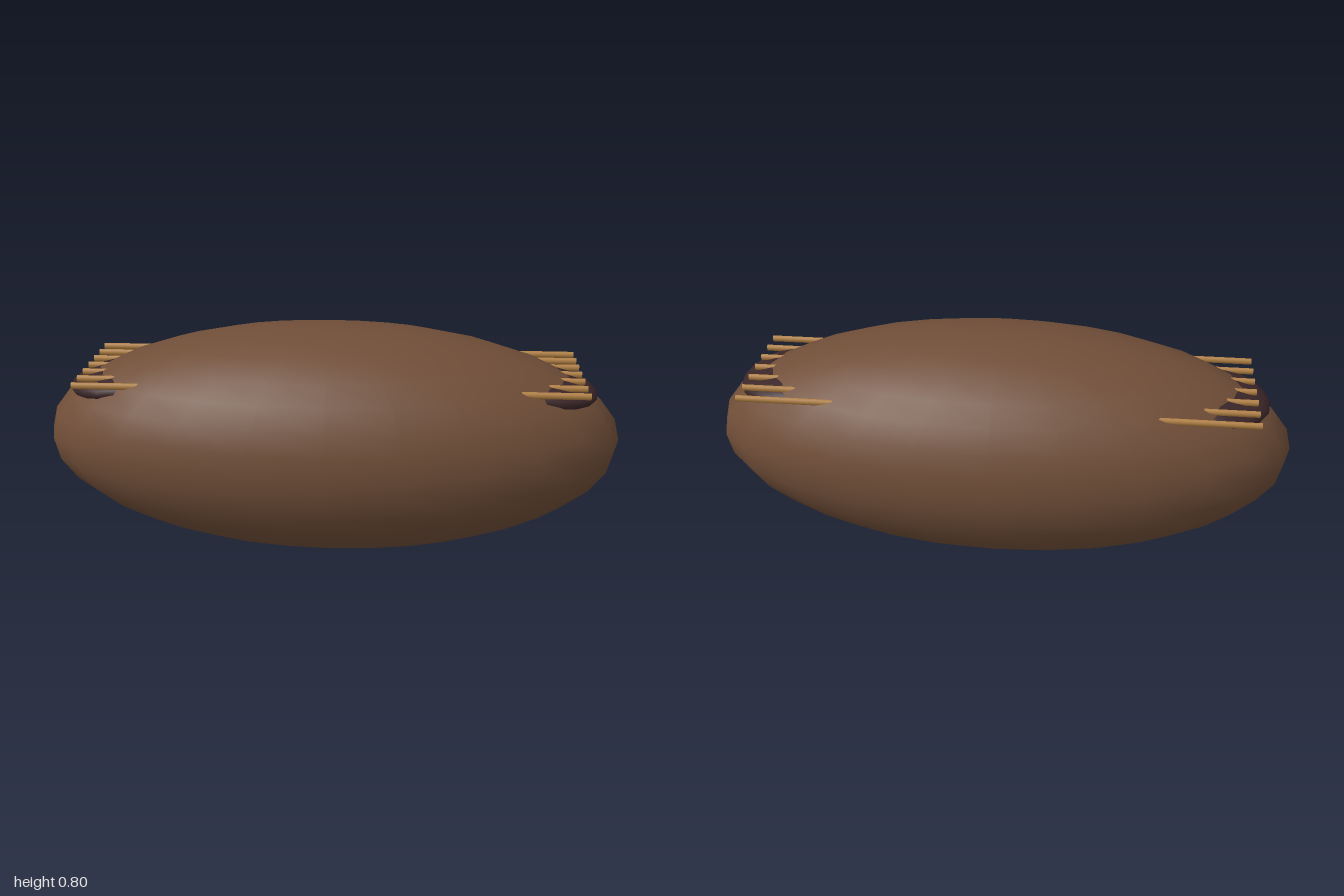
import * as THREE from 'three';

export function createModel() {
  const model = new THREE.Group();
  model.name = 'ovalBodyWithLashedEyes';

  const brown = new THREE.MeshStandardMaterial({ name: 'warm brown', color: 0x704e38 });
  const dark = new THREE.MeshStandardMaterial({ name: 'dark plum brown', color: 0x3b2629 });
  const tan = new THREE.MeshStandardMaterial({ name: 'golden tan', color: 0xb38143 });

  function add(parent, name, geometry, material) {
    const mesh = new THREE.Mesh(geometry, material);
    mesh.name = name;
    parent.add(mesh);
    return mesh;
  }

  // Long smooth body
  const body = add(model, 'body', new THREE.SphereGeometry(1, 24, 16), brown);
  body.scale.set(1, 0.398, 0.432);
  body.position.y = 0.402;

  // Flattened dark lens and a row of seven bars at each end
  const lensGeometry = new THREE.SphereGeometry(1, 20, 12);
  const barGeometry = new THREE.CylinderGeometry(1, 1, 1, 8).rotateZ(Math.PI / 2);
  const inner = 0.45, outer = 0.86;

  for (const side of [1, -1]) {
    const end = new THREE.Group();
    end.name = side > 0 ? 'leftEnd' : 'rightEnd';

    const lens = add(end, 'lens', lensGeometry, dark);
    lens.scale.set(0.195, 0.05, 0.202);
    lens.position.set(side * 0.72, 0.6, 0);
    lens.rotation.z = -side * 0.14;

    for (let i = 0; i < 7; i++) {
      const bar = add(end, 'bar' + (i + 1), barGeometry, tan);
      bar.scale.set(outer - inner, 0.012, 0.008);
      bar.position.set(side * (inner + outer) / 2, 0.63, 0.2 - i * 0.075);
    }
    model.add(end);
  }

  return model;
}
